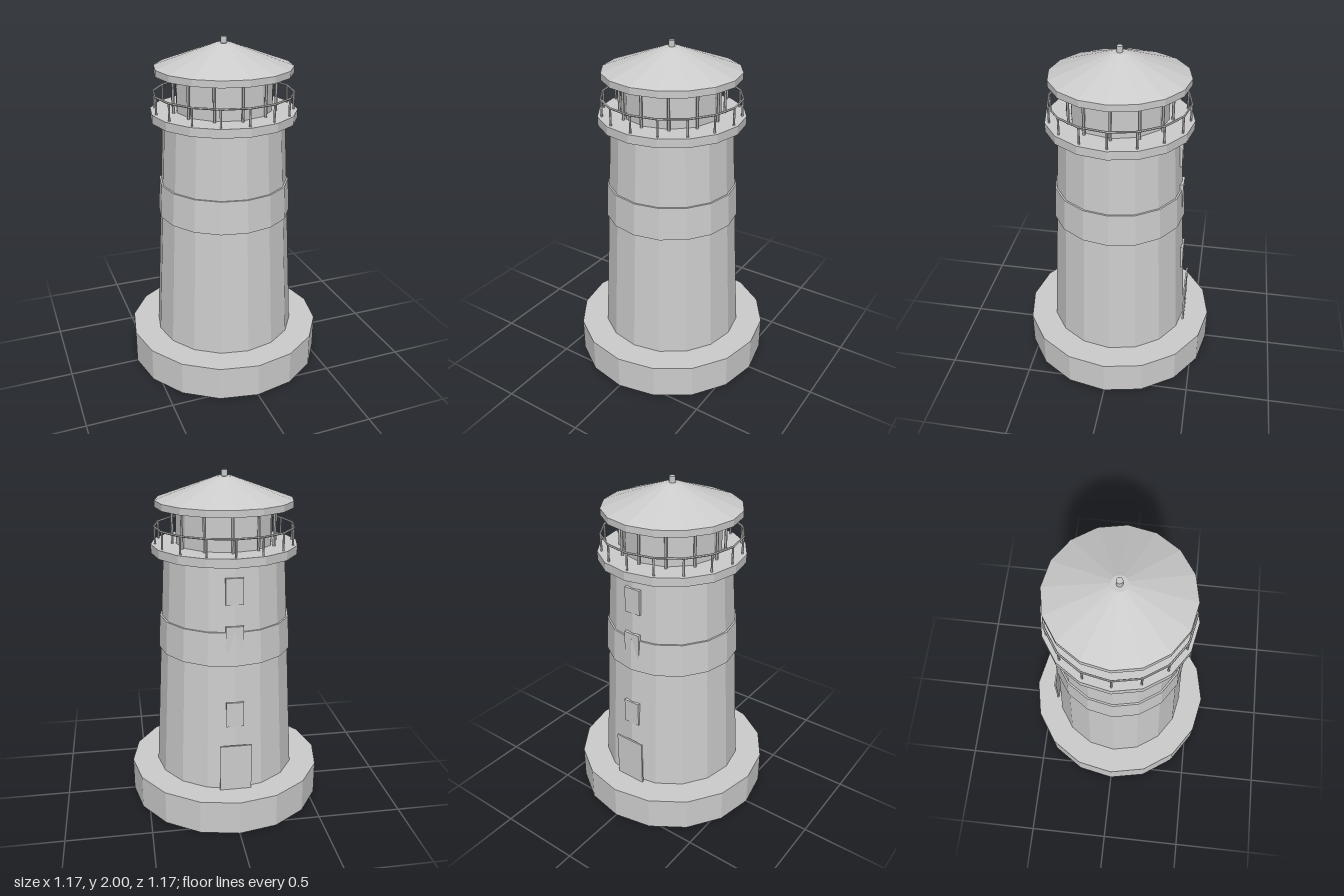
import * as THREE from 'three';

export function createModel() {
  const model = new THREE.Group();
  model.name = 'lighthouse';
  const stone = new THREE.MeshStandardMaterial({ color: 0xcccccc, flatShading: true });
  stone.name = 'pale grey';

  const add = (name, geometry, x = 0, y = 0, z = 0, parent = model) => {
    const mesh = new THREE.Mesh(geometry, stone);
    mesh.name = name;
    mesh.position.set(x, y, z);
    parent.add(mesh);
    return mesh;
  };
  // Faceted drum between two heights
  const drum = (name, rBottom, rTop, y0, y1, sides = 16) =>
    add(name, new THREE.CylinderGeometry(rTop, rBottom, y1 - y0, sides), 0, (y0 + y1) / 2);
  // Ring of upright rods
  const rods = (name, count, radius, thickness, y0, y1) => {
    const group = new THREE.Group();
    group.name = name;
    const geometry = new THREE.CylinderGeometry(thickness, thickness, y1 - y0, 6);
    for (let i = 0; i < count; i++) {
      const a = (i / count) * Math.PI * 2;
      add('rod', geometry, Math.sin(a) * radius, (y0 + y1) / 2, Math.cos(a) * radius, group);
    }
    model.add(group);
  };

  // Masonry
  drum('foundation', 0.585, 0.585, 0, 0.205);
  drum('tower', 0.425, 0.355, 0.205, 1.54);
  drum('band', 0.396, 0.385, 0.97, 1.165);
  drum('galleryDeck', 0.425, 0.425, 1.54, 1.59);

  // Lantern room with its window bars
  drum('lanternRoom', 0.28, 0.28, 1.59, 1.8, 12);
  rods('lanternBars', 12, 0.3, 0.008, 1.59, 1.8);

  // Gallery railing
  rods('railingPosts', 16, 0.4, 0.006, 1.59, 1.69);
  const rail = add('railing', new THREE.TorusGeometry(0.403, 0.006, 6, 16), 0, 1.69, 0);
  rail.rotation.x = Math.PI / 2;

  // Roof
  drum('roofBrim', 0.397, 0.397, 1.8, 1.838);
  drum('roof', 0.397, 0.045, 1.838, 1.965);
  drum('finial', 0.018, 0.018, 1.96, 2, 12);

  // Door and windows on the back
  add('door', new THREE.BoxGeometry(0.185, 0.285, 0.01), 0, 0.3475, -0.43);
  [[0.675, -0.405], [1.125, -0.384], [1.395, -0.369]].forEach(([y, z]) =>
    add('window', new THREE.BoxGeometry(0.1, 0.15, 0.03), 0, y, z + 0.015));

  return model;
}
